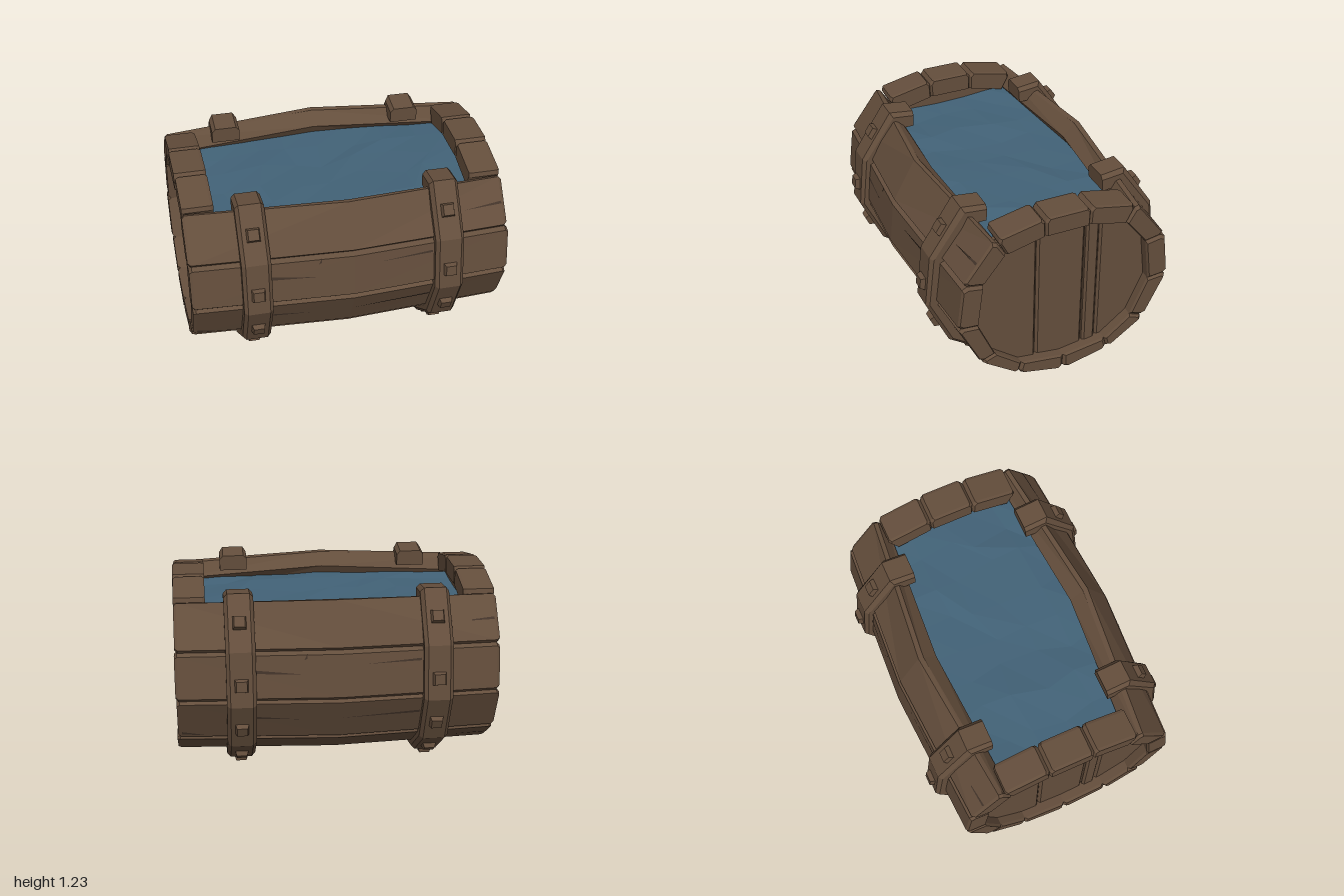
import * as THREE from 'three';

const wood = new THREE.MeshStandardMaterial({ color: 0x644e3c });
wood.name = 'wood';
const crackWood = new THREE.MeshStandardMaterial({ color: 0x43342a, side: THREE.DoubleSide });
crackWood.name = 'dark cracks';
const waterBlue = new THREE.MeshStandardMaterial({ color: 0x426277 });
waterBlue.name = 'water';

// Stave joints [z, y] on one side, from the opening down to the bottom: at the ends and at mid length
const OUT_END = [[.46, 1.165], [.665, .893], [.702, .592], [.555, .295], [.305, .122], [0, .055]];
const OUT_MID = [[.565, 1.19], [.727, .897], [.757, .588], [.6, .28], [.33, .1], [0, .04]];
const IN_END = [[.39, 1.05], [.535, .87], [.57, .58], [.46, .33], [.285, .195], [0, .155]];
const IN_MID = [[.46, 1.09], [.58, .88], [.62, .58], [.5, .32], [.31, .18], [0, .14]];
// Joints of the short blocks closing the top of each end
const BLOCK_OUT = [[.148, 1.23], [.45, 1.165]];
const BLOCK_IN = [[.142, 1.11], [.39, 1.05]];
// Hoop outline, from the hooked end to the bottom
const HOOP_OUT = [[.38, 1.2], [.54, 1.22], [.745, .915], [.78, .575], [.635, .26], [.345, .06], [0, .003]];
const HOOP_IN = [[.385, 1.1], [.47, 1.1], [.66, .87], [.7, .6], [.56, .32], [.31, .15], [0, .07]];

let seed = 7;
const rand = () => (seed = (seed * 16807) % 2147483647) / 2147483647;
const mix = (a, b, t) => [a[0] + (b[0] - a[0]) * t, a[1] + (b[1] - a[1]) * t];
const mirror = (p) => [-p[0], p[1]];
const vec = (x, [z, y]) => new THREE.Vector3(x, y, z);

function mesh(name, geometry, material = wood) {
  const m = new THREE.Mesh(geometry, material);
  m.name = name;
  return m;
}

// Flat-shaded solid through closed loops of points, always facing outward
function loft(sections) {
  const tris = [], n = sections[0].length, last = sections.length - 1;
  for (let s = 0; s < last; s++) {
    for (let i = 0; i < n; i++) {
      const j = (i + 1) % n, a = sections[s], b = sections[s + 1];
      tris.push([a[i], a[j], b[j]], [a[i], b[j], b[i]]);
    }
  }
  for (let i = 1; i < n - 1; i++) {
    tris.push([sections[0][0], sections[0][i + 1], sections[0][i]]);
    tris.push([sections[last][0], sections[last][i], sections[last][i + 1]]);
  }
  const volume = tris.reduce((v, [a, b, c]) => v + a.dot(b.clone().cross(c)), 0);
  const points = tris.flatMap((t) => (volume < 0 ? [t[0], t[2], t[1]] : t));
  const g = new THREE.BufferGeometry().setFromPoints(points);
  g.computeVertexNormals();
  return g;
}

// Stave cross-section: chamfered outside, so neighbours meet in a V groove
function staveProfile([oa, ob, ia, ib]) {
  const cham = .02 / Math.hypot(ob[0] - oa[0], ob[1] - oa[1]);
  return [ia, ib, mix(ob, ib, .22), mix(oa, ob, 1 - cham), mix(oa, ob, cham), mix(oa, ia, .22)];
}

// Stave from x0 to x1, swelling from its end corners to its middle corners
function stave(endCorners, midCorners, x0, x1, inset) {
  const ends = staveProfile(endCorners), mids = staveProfile(midCorners);
  const section = (x, amount) => {
    const loop = mids.map((p, i) => mix(p, ends[i], Math.abs(x)));
    const centre = mix(mix(loop[0], loop[1], .5), mix(loop[3], loop[4], .5), .5);
    return loop.map((p) => vec(x, mix(p, centre, amount)));
  };
  const middle = x0 < 0 && x1 > 0 ? [section(0, 0)] : [];
  return loft([section(x0, inset), section(x0 + .018, 0), ...middle, section(x1 - .018, 0), section(x1, inset)]);
}

// Part of a [z, y] polygon lying between two z values
function clip(poly, lo, hi) {
  const cut = (pts, limit, sign) => pts.flatMap((p, i) => {
    const q = pts[(i + 1) % pts.length];
    const dp = sign * (p[0] - limit), dq = sign * (q[0] - limit);
    const out = dp >= 0 ? [p] : [];
    if (dp * dq < 0) out.push(mix(p, q, dp / (dp - dq)));
    return out;
  });
  return cut(cut(poly, lo, 1), hi, -1);
}

// Round end made of upright planks over a backing panel
function barrelHead() {
  const head = new THREE.Group();
  const half = [BLOCK_IN[0], ...IN_END];
  const rim = [...half, ...half.slice(0, -1).reverse().map(mirror)]
    .map(([z, y]) => [z * 1.1, .62 + (y - .62) * 1.1]);
  const slab = (pts, x, depth, bevel) => {
    const shape = new THREE.Shape(pts.map(([z, y]) => new THREE.Vector2(-z, y)));
    const g = new THREE.ExtrudeGeometry(shape, {
      depth, bevelEnabled: bevel > 0, bevelThickness: bevel, bevelSize: bevel, bevelOffset: -bevel, bevelSegments: 1,
    });
    return g.rotateY(Math.PI / 2).translate(x, 0, 0);
  };
  head.add(mesh('headBacking', slab(rim, .85, .03, 0)));
  const edges = [-.75, -.25, -.158, .165, .75];
  for (let i = 0; i < 4; i++) {
    head.add(mesh('headPlank', slab(clip(rim, edges[i] + .003, edges[i + 1] - .003), .885, .02 + .008 * (i % 2), .015)));
  }
  return head;
}

// Open hoop hooked over both sides of the opening
function hoop(x) {
  const group = new THREE.Group();
  const both = (list) => [...list, ...list.slice(0, -1).reverse().map(mirror)];
  const outs = both(HOOP_OUT), ins = both(HOOP_IN);
  group.add(mesh('hoopBand', loft(outs.map((o, i) => {
    const shoulder = mix(o, ins[i], .25);
    return [
      vec(x - .09, ins[i]), vec(x - .09, shoulder), vec(x - .068, o),
      vec(x + .068, o), vec(x + .09, shoulder), vec(x + .09, ins[i]),
    ];
  }))));
  // Square bolts, one on each straight of the hoop
  const along = [0, .5, .6, .54, .58, .13];
  for (const side of [1, -1]) {
    for (let i = 1; i < HOOP_OUT.length - 1; i++) {
      const a = HOOP_OUT[i], b = HOOP_OUT[i + 1], p = mix(a, b, along[i]);
      const normal = new THREE.Vector3(0, b[0] - a[0], (a[1] - b[1]) * side).normalize();
      const g = new THREE.CylinderGeometry(.046, .064, .044, 4).rotateY(Math.PI / 4).toNonIndexed();
      g.computeVertexNormals();
      const bolt = mesh('hoopBolt', g);
      bolt.position.set(x, p[1], p[0] * side).addScaledVector(normal, .008);
      bolt.quaternion.setFromUnitVectors(new THREE.Vector3(0, 1, 0), normal);
      group.add(bolt);
    }
  }
  return group;
}

// Thin wedge-shaped split lying on a stave: wide at x0, pointed at x1
function crack(side, i, t, x0, x1, width) {
  const point = (x, u) => {
    const k = Math.abs(x);
    const [z, y] = mix(mix(OUT_MID[i], OUT_END[i], k), mix(OUT_MID[i + 1], OUT_END[i + 1], k), u);
    return vec(x, [z * side * 1.005, .62 + (y - .62) * 1.005]);
  };
  const g = new THREE.BufferGeometry().setFromPoints([point(x0, t), point(x0, t + width), point(x1, t + width * 1.3)]);
  g.computeVertexNormals();
  return mesh('crack', g, crackWood);
}

// Faintly rippled surface that follows the swelling sides
function waterSurface() {
  const g = new THREE.PlaneGeometry(1.74, 2, 8, 5).rotateX(-Math.PI / 2);
  const p = g.attributes.position;
  for (let i = 0; i < p.count; i++) {
    const x = p.getX(i), z = p.getZ(i);
    const j = Math.abs(x) < .8 && Math.abs(z) < .9 ? .1 : 0;
    p.setXYZ(i, x + (rand() - .5) * j, 1.035 + (rand() - .5) * .025, z * (.45 + .07 * (1 - Math.abs(x))) + (rand() - .5) * j);
  }
  const flat = g.toNonIndexed();
  flat.computeVertexNormals();
  return mesh('water', flat, waterBlue);
}

export function createModel() {
  const model = new THREE.Group();
  model.name = 'barrelTrough';

  for (const side of [1, -1]) {
    const flip = side > 0 ? (p) => p : mirror;
    // Long staves round the sides and bottom
    for (let i = 0; i < 5; i++) {
      const ends = [OUT_END[i], OUT_END[i + 1], IN_END[i], IN_END[i + 1]].map(flip);
      const mids = [OUT_MID[i], OUT_MID[i + 1], IN_MID[i], IN_MID[i + 1]].map(flip);
      model.add(mesh('stave', stave(ends, mids, -1 + rand() * .01, 1 - rand() * .01, .12)));
    }
    // Short blocks closing the top of each end
    const block = [...BLOCK_OUT, ...BLOCK_IN].map(flip);
    model.add(mesh('endBlock', stave(block, block, .8, .995, .08)));
    model.add(mesh('endBlock', stave(block, block, -.995, -.8, .08)));
  }
  const top = [BLOCK_OUT[0], mirror(BLOCK_OUT[0]), BLOCK_IN[0], mirror(BLOCK_IN[0])];
  model.add(mesh('topBlock', stave(top, top, .8, 1, .08)), mesh('topBlock', stave(top, top, -1, -.8, .08)));

  // Heads and hoops
  for (const side of [1, -1]) {
    const head = barrelHead();
    head.name = 'barrelHead';
    if (side < 0) head.rotation.y = Math.PI;
    const band = hoop(side * .6);
    band.name = 'hoop';
    model.add(head, band);
  }

  // Splits in the wood: stave, position across it, wide end, point, width
  const splits = [
    [0, .5, .97, .72, .05], [1, .22, .5, .16, .05], [1, .36, -.51, -.23, .07], [1, .04, -.2, -.22, .1],
    [2, .4, -.51, -.25, .06], [2, .38, .5, .01, .06], [2, .8, -.97, -.82, .07], [3, .5, .97, .75, .05],
  ];
  for (const s of splits) {
    model.add(crack(1, ...s), crack(-1, s[0], s[1], -s[2], -s[3], s[4]));
  }

  model.add(waterSurface());
  return model;
}
